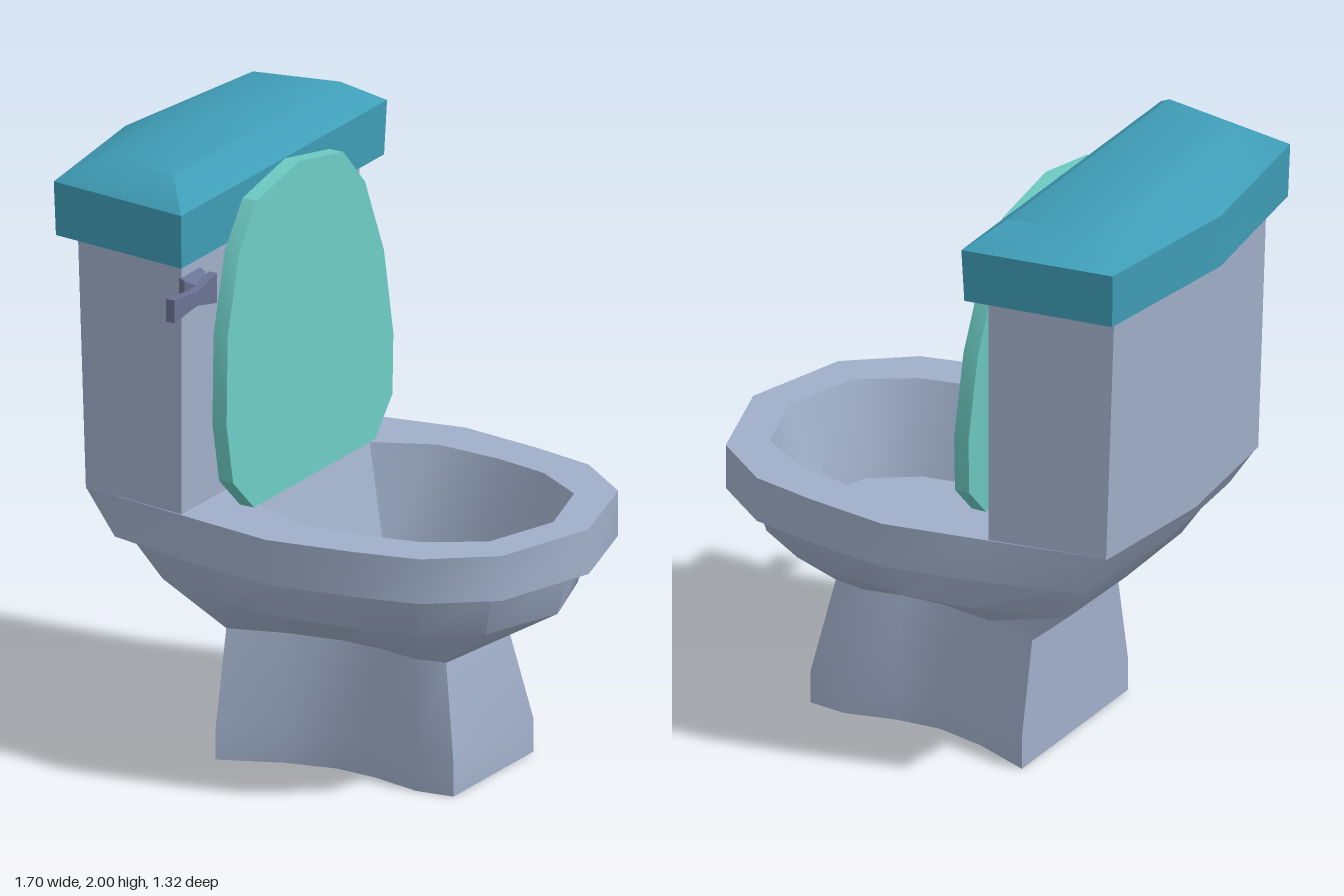
import * as THREE from 'three';
import { toCreasedNormals } from 'three/addons/utils/BufferGeometryUtils.js';

const CZ = -0.03; // symmetry plane of the fixture

// Skin a list of equal-length closed rings and cap both ends
function loft(rings, crease = 0.7) {
  const pos = [];
  const tri = (...p) => p.forEach((v) => pos.push(...v));
  const centre = (r) => [0, 1, 2].map((k) => r.reduce((s, v) => s + v[k], 0) / r.length);
  const n = rings[0].length;
  const first = rings[0], last = rings[rings.length - 1];
  const c0 = centre(first), c1 = centre(last);
  for (let i = 0; i < n; i++) {
    const j = (i + 1) % n;
    for (let k = 0; k + 1 < rings.length; k++) {
      const p = rings[k], q = rings[k + 1];
      tri(p[i], p[j], q[j]);
      tri(p[i], q[j], q[i]);
    }
    tri(c0, first[j], first[i]);
    tri(c1, last[i], last[j]);
  }
  const g = new THREE.BufferGeometry();
  g.setAttribute('position', new THREE.Float32BufferAttribute(pos, 3));
  return toCreasedNormals(g, crease);
}

// Half outline [a, halfWidth] -> full mirrored outline
const mirror = (half) => [
  ...half,
  ...half.filter((p) => p[1] !== 0).reverse().map(([a, w]) => [a, -w]),
];

// Horizontal ring at height y
const level = (y, half) => mirror(half).map(([x, w]) => [x, y, CZ - w]);

export function createModel() {
  const group = new THREE.Group();
  const mat = (name, color) => {
    const m = new THREE.MeshStandardMaterial({ color });
    m.name = name;
    return m;
  };
  const ceramic = mat('ceramic', 0xa0afc9);
  const teal = mat('teal', 0x3f9db7);
  const mint = mat('mint', 0x6cc9c1);
  const metal = mat('metal', 0x6b7394);
  const add = (name, geometry, material) => {
    const m = new THREE.Mesh(geometry, material);
    m.name = name;
    group.add(m);
  };

  // Pedestal, bowl, rim and hollow as one continuous skin
  const foot = [[0.5, 0], [0.5, 0.245], [0.37, 0.26], [0.2, 0.22],
    [0.05, 0.21], [-0.12, 0.25], [-0.32, 0.335], [-0.32, 0]];
  const neck = [[0.44, 0], [0.44, 0.19], [0.33, 0.21], [0.2, 0.185],
    [0.05, 0.18], [-0.13, 0.21], [-0.32, 0.27], [-0.32, 0]];
  const belly = [[0.735, 0], [0.64, 0.28], [0.46, 0.4], [0.27, 0.44],
    [0.03, 0.475], [-0.2, 0.45], [-0.5, 0.36], [-0.51, 0]];
  const shoulder = [[0.78, 0], [0.68, 0.31], [0.49, 0.45], [0.29, 0.49],
    [0.03, 0.53], [-0.24, 0.49], [-0.6, 0.41], [-0.64, 0]];
  const front = [[0.85, 0], [0.745, 0.355], [0.54, 0.515], [0.32, 0.565],
    [0.03, 0.61], [-0.26, 0.56]];
  const hole = [[0.72, 0], [0.64, 0.26], [0.46, 0.375], [0.27, 0.415],
    [0.04, 0.43], [-0.16, 0.34], [-0.16, 0.17], [-0.16, 0]];
  const floor = [[0.64, 0], [0.56, 0.21], [0.41, 0.31], [0.23, 0.34],
    [0.05, 0.35], [-0.075, 0.28], [-0.075, 0.14], [-0.075, 0]];
  add('bowl', loft([
    level(0, foot),
    level(0.11, foot),
    level(0.42, neck),
    level(0.58, belly),
    level(0.735, shoulder),
    level(0.735, [...front, [-0.61, 0.47], [-0.65, 0]]),
    level(0.885, [...front, [-0.71, 0.48], [-0.76, 0]]),
    level(0.885, hole),
    level(0.58, floor),
  ]), ceramic);

  // Tank with a shallow pointed back
  add('tank', loft([
    level(0.88, [[-0.32, 0.545], [-0.71, 0.48], [-0.76, 0]]),
    level(1.75, [[-0.32, 0.545], [-0.74, 0.48], [-0.79, 0]]),
  ], 0.2), ceramic);

  // Tank lid with a sloped top
  add('tankLid', loft([
    level(1.74, [[-0.275, 0.62], [-0.775, 0.555], [-0.848, 0]]),
    level(1.92, [[-0.27, 0.63], [-0.78, 0.56], [-0.853, 0]]),
    level(2.0, [[-0.37, 0.51], [-0.655, 0.45], [-0.7, 0]]),
  ]), teal);

  // Raised seat cover leaning back on the tank
  const cover = [[1.92, 0], [1.87, 0.265], [1.735, 0.385], [1.48, 0.478],
    [1.195, 0.51], [1, 0.487], [0.885, 0.37]];
  const upright = (x, half) =>
    mirror(half).map(([y, w]) => [x - (y - 0.885) * 0.054, y, CZ + w]);
  add('seatCover', loft([upright(-0.21, cover), upright(-0.158, cover)], 0.6), mint);

  // Flush handle: tapered mount on the tank face
  const plate = (x, y0, y1, z0, z1) => [[x, y1, z1], [x, y0, z1], [x, y0, z0], [x, y1, z0]];
  add('handleMount', loft([
    plate(-0.325, 1.57, 1.68, 0.4, 0.52),
    plate(-0.305, 1.57, 1.67, 0.4, 0.52),
    plate(-0.28, 1.6, 1.65, 0.42, 0.49),
  ], 0.2), metal);

  // Lever, flared at both ends
  const slice = (z, h) => [[-0.258, 1.62 - h, z], [-0.258, 1.62 + h, z],
    [-0.29, 1.62 + h, z], [-0.29, 1.62 - h, z]];
  add('handleLever', loft([
    slice(0.4, 0.05), slice(0.52, 0.023), slice(0.66, 0.038),
  ], 0.2), metal);

  return group;
}
